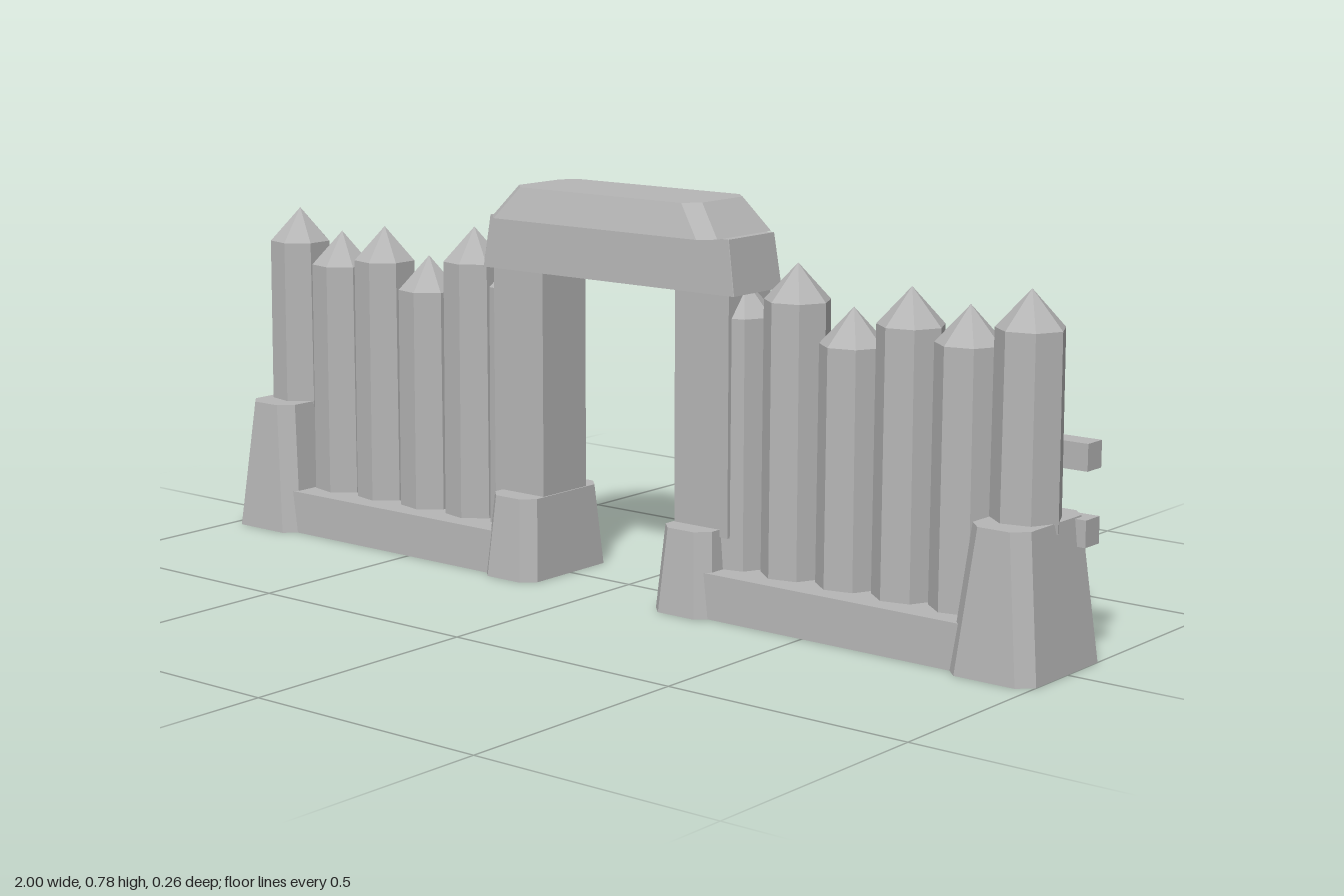
import * as THREE from 'three';

const stone = new THREE.MeshStandardMaterial({ color: 0xb6b6b6, flatShading: true, side: THREE.DoubleSide });
stone.name = 'plain grey';

// Chamfered rectangular block that tapers from bottom [hx, hz] to top [hx, hz]
function taperedBlock(y0, y1, bottom, top, chamfer, closed) {
  const ring = (y, [hx, hz]) => {
    const pts = [];
    for (const [sx, sz] of [[1, 1], [-1, 1], [-1, -1], [1, -1]]) {
      const a = [sx * hx, y, sz * (hz - chamfer)];
      const b = [sx * (hx - chamfer), y, sz * hz];
      pts.push(...(sx * sz > 0 ? [a, b] : [b, a]));
    }
    return pts;
  };
  const lo = ring(y0, bottom), hi = ring(y1, top), pos = [];
  for (let i = 0; i < 8; i++) {
    const j = (i + 1) % 8;
    pos.push(...lo[i], ...hi[i], ...lo[j], ...hi[i], ...hi[j], ...lo[j]);
    pos.push(0, y1, 0, ...hi[j], ...hi[i]);
    if (closed) pos.push(0, y0, 0, ...lo[i], ...lo[j]);
  }
  const geo = new THREE.BufferGeometry();
  geo.setAttribute('position', new THREE.Float32BufferAttribute(pos, 3));
  geo.computeVertexNormals();
  return geo;
}

function add(parent, name, geo, x = 0, y = 0, z = 0) {
  const mesh = new THREE.Mesh(geo, stone);
  mesh.name = name;
  mesh.position.set(x, y, z);
  parent.add(mesh);
  return mesh;
}

// Pointed seven-sided log
function addLog(parent, x, bottom, shoulder, tip, turn) {
  const log = new THREE.Group();
  log.name = 'log';
  const h = shoulder - bottom;
  add(log, 'logShaft', new THREE.CylinderGeometry(0.064, 0.066, h, 7), 0, bottom + h / 2);
  add(log, 'logPoint', new THREE.ConeGeometry(0.064, tip - shoulder, 7, 1, true), 0, (shoulder + tip) / 2);
  log.position.x = x;
  log.rotation.y = turn;
  parent.add(log);
}

// Shield plate facing the back, with its face narrower than its rim
function addShield(parent, x, y, z) {
  const shape = new THREE.Shape([[0, 0.073], [-0.054, 0.056], [-0.054, -0.012], [0, -0.073], [0.054, -0.012], [0.054, 0.056]]
    .map(([a, b]) => new THREE.Vector2(a, b)));
  const geo = new THREE.ExtrudeGeometry(shape, { depth: 0.016, bevelEnabled: false });
  const p = geo.attributes.position;
  for (let i = 0; i < p.count; i++) {
    if (p.getZ(i) > 0.01) p.setXY(i, p.getX(i) * 0.86, p.getY(i) * 0.86);
  }
  geo.computeVertexNormals();
  add(parent, 'shield', geo, x, y, z).rotation.y = Math.PI;
}

function addLantern(parent, x, y, z) {
  const lantern = new THREE.Group();
  lantern.name = 'lantern';
  add(lantern, 'lanternFoot', new THREE.CylinderGeometry(0.031, 0.031, 0.014, 6), 0, 0.007);
  add(lantern, 'lanternBody', new THREE.CylinderGeometry(0.025, 0.021, 0.042, 6), 0, 0.034);
  add(lantern, 'lanternCap', new THREE.CylinderGeometry(0.016, 0.034, 0.02, 6), 0, 0.065);
  lantern.position.set(x, y, z);
  parent.add(lantern);
}

export function createModel() {
  const gate = new THREE.Group();
  gate.name = 'palisadeGate';

  // Logs from the outer end inward: x, shoulder, tip
  const logs = [[0.908, 0.61, 0.68], [0.783, 0.57, 0.64], [0.658, 0.59, 0.66],
    [0.532, 0.54, 0.61], [0.405, 0.61, 0.68], [0.28, 0.57, 0.64]];

  for (const s of [1, -1]) {
    const wing = new THREE.Group();
    wing.name = s > 0 ? 'leftWing' : 'rightWing';
    gate.add(wing);

    // Open-bottomed footings
    add(wing, 'cornerFooting', taperedBlock(0, 0.27, [0.09, 0.131], [0.06, 0.111], 0.027, false), s * 0.91);
    add(wing, 'gateFooting', taperedBlock(0, 0.165, [0.068, 0.127], [0.056, 0.113], 0.025, false), s * 0.219);
    add(wing, 'groundBeam', taperedBlock(0, 0.088, [0.315, 0.108], [0.315, 0.106], 0.001, false), s * 0.54);

    // Palisade
    logs.forEach(([x, shoulder, tip], i) =>
      addLog(wing, s * x, i === 0 ? 0.25 : 0.05, shoulder, tip, s * Math.PI / 2));
    add(wing, 'gatePost', new THREE.BoxGeometry(0.128, 0.47, 0.13), s * 0.23, 0.385, 0);

    // Rails, shield and lantern on the back
    for (const y of [0.38, 0.242]) {
      add(wing, 'rail', new THREE.BoxGeometry(0.775, 0.05, 0.047), s * 0.605, y, -0.085);
    }
    addShield(wing, s * 0.568, 0.313, -0.117);
    addLantern(wing, s * 0.22, 0.485, -0.068);
  }

  // Gate top
  add(gate, 'lintel', taperedBlock(0.615, 0.72, [0.313, 0.075], [0.297, 0.071], 0.001, true));
  add(gate, 'roof', taperedBlock(0.72, 0.783, [0.28, 0.111], [0.228, 0.09], 0.028, true));
  addShield(gate, 0, 0.683, -0.079);

  return gate;
}
